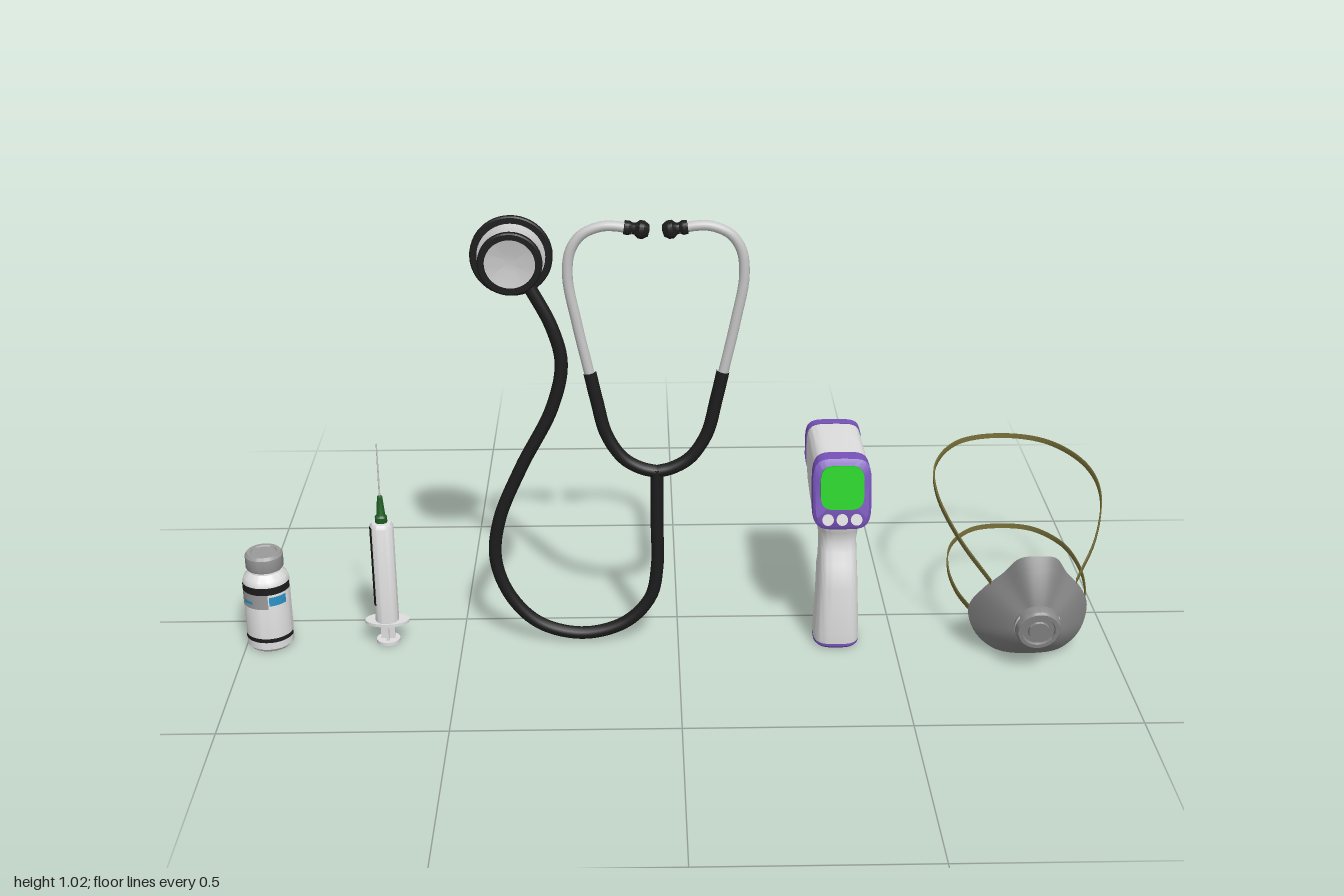
import * as THREE from 'three';
import { toCreasedNormals } from 'three/addons/utils/BufferGeometryUtils.js';

const mat = (name, color, side = THREE.FrontSide) => {
  const m = new THREE.MeshStandardMaterial({ color, side });
  m.name = name;
  return m;
};
const V = (x, y, z) => new THREE.Vector3(x, y, z);

export function createModel() {
  const white = mat('white', 0xdedede), black = mat('black', 0x1c1c1c), silver = mat('silver', 0xc6c6c6);
  const capGrey = mat('cap grey', 0x9a9a9a), maskGrey = mat('mask grey', 0x868686, THREE.DoubleSide);
  const purple = mat('purple', 0x7652b8), green = mat('screen green', 0x08cc08);
  const darkGreen = mat('hub green', 0x1f5c22), olive = mat('olive', 0x77703a, THREE.DoubleSide);
  const blue = mat('blue', 0x2a94c8);

  const root = new THREE.Group();
  const group = (name, x = 0, y = 0, z = 0) => {
    const g = new THREE.Group();
    g.name = name;
    g.position.set(x, y, z);
    root.add(g);
    return g;
  };
  const add = (parent, name, geo, material, x = 0, y = 0, z = 0) => {
    const m = new THREE.Mesh(geo, material);
    m.name = name;
    m.position.set(x, y, z);
    parent.add(m);
    return m;
  };
  const lathe = (pts, seg = 40) => toCreasedNormals(
    new THREE.LatheGeometry(pts.map(p => new THREE.Vector2(...p)), seg), 0.6);
  const tube = (pts, r, seg = 40) =>
    new THREE.TubeGeometry(new THREE.CatmullRomCurve3(pts), seg, r, 12);
  const cyl = (r1, r2, h) => new THREE.CylinderGeometry(r1, r2, h, 28);
  // curved plate on a cylinder, between two angles and two heights
  const wrap = (r, y0, y1, a0, a1) =>
    new THREE.CylinderGeometry(r, r, y1 - y0, 20, 1, true, a0, a1 - a0).translate(0, (y0 + y1) / 2, 0);

  // closed solid through rounded sections [half width, lowZ, lowY, highZ, highY]
  const loft = (sections, power = 0.45, n = 40) => {
    const pos = [], idx = [], last = sections.length - 1;
    const se = v => Math.sign(v) * Math.abs(v) ** power;
    for (const [hw, zl, yl, zh, yh] of sections)
      for (let i = 0; i < n; i++) {
        const a = i / n * Math.PI * 2, t = (se(Math.sin(a)) + 1) / 2;
        pos.push(hw * se(Math.cos(a)), yl + (yh - yl) * t, zl + (zh - zl) * t);
      }
    for (const [, zl, yl, zh, yh] of [sections[0], sections[last]]) pos.push(0, (yl + yh) / 2, (zl + zh) / 2);
    const c0 = (last + 1) * n;
    for (let i = 0; i < n; i++) {
      const j = (i + 1) % n;
      for (let k = 0; k < last; k++) {
        const a = k * n + i, b = k * n + j;
        idx.push(a, b, b + n, a, b + n, a + n);
      }
      idx.push(c0, j, i, c0 + 1, last * n + i, last * n + j);
    }
    // turn the faces outward if the volume comes out negative
    const p = k => V(...pos.slice(k * 3, k * 3 + 3));
    let vol = 0;
    for (let i = 0; i < idx.length; i += 3) vol += p(idx[i]).dot(p(idx[i + 1]).cross(p(idx[i + 2])));
    if (vol < 0) idx.reverse();
    const g = new THREE.BufferGeometry();
    g.setAttribute('position', new THREE.Float32BufferAttribute(pos, 3));
    g.setIndex(idx);
    return toCreasedNormals(g, 0.7);
  };

  // Vial
  const vial = group('vial', -0.946, 0, 0.1);
  add(vial, 'vialBottle', lathe([[0, 0], [0.046, 0], [0.053, 0.008], [0.053, 0.165], [0.049, 0.178],
    [0.036, 0.19], [0.034, 0.202], [0, 0.202]]), white);
  add(vial, 'vialCap', lathe([[0, 0.197], [0.041, 0.197], [0.043, 0.201], [0.043, 0.229], [0.038, 0.236],
    [0.03, 0.236], [0.028, 0.233], [0, 0.233]]), capGrey);
  add(vial, 'labelTopBand', wrap(0.054, 0.148, 0.166, -1.45, 1.45), black);
  add(vial, 'labelBottomBand', wrap(0.054, 0.026, 0.036, -1.45, 1.45), black);
  add(vial, 'labelPanel', wrap(0.0538, 0.112, 0.148, -1.45, 0.2), capGrey);
  add(vial, 'labelBlueMark', wrap(0.0542, 0.12, 0.142, 0.25, 1.05), blue);
  add(vial, 'labelBlueStripe', wrap(0.0542, 0.122, 0.13, -1.0, -0.5), blue);

  // Syringe
  const syringe = group('syringe', -0.674, 0, 0.1);
  add(syringe, 'plungerThumbRest', cyl(0.027, 0.027, 0.008), white, 0, 0.004);
  for (const a of [0, Math.PI / 2])
    add(syringe, 'plungerRod', new THREE.BoxGeometry(0.032, 0.05, 0.006), white, 0, 0.032).rotation.y = a;
  add(syringe, 'fingerFlange', cyl(0.03, 0.03, 0.007), white, 0, 0.054).scale.x = 1.7;
  add(syringe, 'barrel', lathe([[0, 0.055], [0.027, 0.055], [0.027, 0.298], [0.022, 0.306], [0.009, 0.308], [0, 0.308]]), white);
  add(syringe, 'scaleMarks', wrap(0.0278, 0.1, 0.3, -1.5, -0.85), black);
  add(syringe, 'scaleMarksRear', wrap(0.0278, 0.1, 0.3, 1.7, 2.15), black);
  add(syringe, 'needleHub', lathe([[0, 0.305], [0.014, 0.305], [0.014, 0.32], [0.01, 0.325], [0.006, 0.37], [0, 0.375]], 20), darkGreen);
  add(syringe, 'needle', cyl(0.0015, 0.002, 0.13), silver, 0, 0.435);

  // Stethoscope
  const steth = group('stethoscope', -0.048, 0, 0.105);
  const hose = [[-0.28, 0.88], [-0.228, 0.775], [-0.209, 0.69], [-0.232, 0.585], [-0.305, 0.44], [-0.358, 0.31],
    [-0.369, 0.21], [-0.337, 0.115], [-0.272, 0.045], [-0.172, 0.018], [-0.075, 0.045], [-0.016, 0.11], [0, 0.19], [0, 0.3], [0, 0.435]];
  add(steth, 'hose', tube(hose.map(p => V(...p, 0)), 0.0145, 120), black);
  for (const s of [-1, 1]) {
    const path = pts => pts.map(([x, y]) => V(s * x, y, 0));
    add(steth, 'yokeTube', tube(path([[0, 0.428], [0.035, 0.437], [0.075, 0.462], [0.112, 0.52], [0.132, 0.6], [0.147, 0.67]]), 0.0145), black);
    add(steth, 'earTube', tube(path([[0.145, 0.655], [0.174, 0.79], [0.191, 0.89], [0.184, 0.95], [0.16, 0.985],
      [0.12, 1.003], [0.085, 1.004], [0.05, 0.997]]), 0.0115, 60), silver);
    const tip = add(steth, 'earTip', lathe([[0, 0], [0.015, 0.002], [0.016, 0.012], [0.012, 0.02], [0.013, 0.026],
      [0.02, 0.034], [0.02, 0.044], [0.013, 0.055], [0, 0.057]], 24), black, s * 0.07, 1.002);
    tip.rotation.z = s * 1.72;
  }
  // two-sided chest piece, turned about z
  const chest = group('chestPiece', -0.361, 0.93, 0);
  chest.rotation.x = Math.PI / 2;
  add(chest, 'chestBody', lathe([[0, 0.075], [0.03, 0.074], [0.076, 0.07], [0.08, 0.081], [0.066, 0.086], [0.062, 0.1],
    [0.05, 0.106], [0.062, 0.115], [0.063, 0.128], [0.055, 0.134], [0.02, 0.127], [0, 0.126]]), silver);
  const rim = (ri, ro, z0, z1) => lathe([[ri, z0], [ro - 0.003, z0], [ro, z0 + 0.003], [ro, z1 - 0.003],
    [ro - 0.003, z1], [ri, z1], [ri, z0]], 48);
  add(chest, 'diaphragmRim', rim(0.073, 0.09, 0.068, 0.083), black);
  add(chest, 'bellRim', rim(0.055, 0.07, 0.123, 0.14), black);
  const stem = add(chest, 'chestStem', cyl(0.011, 0.011, 0.06), silver, 0.027, 0.105, 0.045);
  stem.rotation.set(Math.PI / 2, 0, -0.5);

  // Infrared thermometer
  const gun = group('thermometer', 0.366);
  add(gun, 'head', loft([[0.064, 0.15, 0.305, 0.105, 0.47], [0.064, 0.06, 0.308, 0.04, 0.47],
    [0.063, -0.02, 0.318, -0.02, 0.47], [0.062, -0.07, 0.345, -0.068, 0.469]]), white);
  add(gun, 'frontBezel', loft([[0.066, 0.148, 0.303, 0.104, 0.472], [0.066, 0.173, 0.312, 0.14, 0.471],
    [0.06, 0.178, 0.322, 0.146, 0.463]]), purple);
  add(gun, 'rearCap', loft([[0.064, -0.065, 0.343, -0.064, 0.471], [0.064, -0.09, 0.346, -0.09, 0.47],
    [0.057, -0.096, 0.353, -0.096, 0.463]]), purple);
  add(gun, 'sensorRing', cyl(0.03, 0.03, 0.006).rotateX(Math.PI / 2), purple, 0, 0.408, -0.097);
  const faceZ = (y, d = 0) => 0.1465 + (0.463 - y) * 0.227 + d;
  add(gun, 'screen', loft([-0.002, 0.004].map(d => [0.049, faceZ(0.36, d), 0.36, faceZ(0.457, d), 0.457]), 0.5), green);
  for (const x of [-0.032, 0, 0.032])
    add(gun, 'button', cyl(0.013, 0.013, 0.009), white, x, 0.337, faceZ(0.337)).rotation.x = Math.PI / 2 - 0.22;
  // grip sections: half width, back z, front z, height
  const grip = [[0.052, 0.05, 0.162, 0.012], [0.052, 0.048, 0.164, 0.035], [0.049, 0.055, 0.163, 0.1], [0.047, 0.04, 0.161, 0.15],
    [0.046, 0.032, 0.158, 0.178], [0.044, 0.046, 0.148, 0.208], [0.043, 0.04, 0.138, 0.235], [0.043, 0.026, 0.132, 0.258],
    [0.047, 0.005, 0.138, 0.285], [0.055, -0.025, 0.149, 0.306], [0.06, -0.06, 0.148, 0.34]];
  add(gun, 'grip', loft(grip.map(([w, b, f, y]) => [w, b, y, f, y]), 0.65), white);
  add(gun, 'gripBase', loft([[0.047, 0.056, 0, 0.156, 0], [0.052, 0.05, 0.006, 0.162, 0.006], [0.052, 0.05, 0.014, 0.162, 0.014]], 0.65), purple);
  add(gun, 'trigger', loft([[0.018, -0.028, 0.244, 0.01, 0.246], [0.022, -0.034, 0.255, 0.012, 0.255],
    [0.022, -0.044, 0.3, 0.012, 0.3], [0.022, -0.045, 0.33, 0.012, 0.33]]), purple);

  // Face mask: cup between the rim curve and a front point
  const mask = group('faceMask', 0.802);
  const half = [[0.04, 0.262, 0.226], [0.072, 0.215, 0.206], [0.112, 0.165, 0.185], [0.137, 0.1, 0.157],
    [0.12, 0.045, 0.172], [0.073, 0.01, 0.189]];
  const rimCurve = new THREE.CatmullRomCurve3([V(0, 0.269, 0.232), ...half.map(p => V(...p)), V(0, 0.002, 0.195),
    ...half.slice().reverse().map(([x, y, z]) => V(-x, y, z))], true);
  const cup = (u, t, lift = 0) => {
    const p = rimCurve.getPoint(((u % 1) + 1) % 1);
    return V(p.x * t, 0.118 + (p.y - 0.118) * t, p.z + (0.284 - p.z) * (1 - t ** 1.7) + lift);
  };
  // surface through rows of points
  const sheet = rows => {
    const n = rows[0].length, idx = [], g = new THREE.BufferGeometry().setFromPoints(rows.flat());
    for (let r = 0; r < rows.length - 1; r++)
      for (let i = 0; i < n - 1; i++) {
        const a = r * n + i;
        idx.push(a, a + n, a + 1, a + 1, a + n, a + n + 1);
      }
    g.setIndex(idx);
    g.computeVertexNormals();
    return g;
  };
  const rows = (t0, t1, k, u0, u1, n, lift) => Array.from({ length: k + 1 }, (_, r) =>
    Array.from({ length: n + 1 }, (_, i) => cup(u0 + (u1 - u0) * i / n, t1 + (t0 - t1) * r / k, lift)));
  add(mask, 'maskCup', sheet(rows(0.02, 1, 14, 0, 1, 72, 0)), maskGrey);
  add(mask, 'noseClip', sheet(rows(0.79, 0.87, 2, -0.13, 0.13, 24, 0.004)), maskGrey);
  const valve = new THREE.Group();
  valve.name = 'valve';
  valve.position.set(0, 0.117, 0.268);
  valve.rotation.x = Math.PI / 2 + 0.16;
  mask.add(valve);
  add(valve, 'valveHousing', lathe([[0, 0], [0.052, 0], [0.05, 0.022], [0.046, 0.027], [0.037, 0.027], [0.035, 0.022],
    [0.024, 0.022], [0.022, 0.026], [0, 0.026]]), maskGrey);
  for (const s of [-1, 1])
    add(valve, 'valveSlot', wrap(0.0525, 0.008, 0.016, s * Math.PI / 2 - 0.6, s * Math.PI / 2 + 0.6), white);

  // elastic straps as flat bands
  const strap = (name, pts) => {
    const all = [...pts.map(p => V(...p)), ...pts.slice(0, -1).reverse().map(([x, y, z]) => V(-x, y, z))];
    const line = new THREE.CatmullRomCurve3(all).getPoints(90);
    const edge = (dy, k) => line.map(p => V(p.x * k, p.y + dy, p.z));
    add(mask, name, sheet([edge(0.0065, 1), edge(-0.0065, 1), edge(-0.0065, 0.98), edge(0.0065, 0.98), edge(0.0065, 1)]), olive);
  };
  strap('upperStrap', [[0.098, 0.19, 0.2], [0.158, 0.25, 0.105], [0.194, 0.302, -0.03], [0.178, 0.323, -0.16],
    [0.105, 0.331, -0.27], [0, 0.332, -0.303]]);
  strap('lowerStrap', [[0.128, 0.095, 0.168], [0.153, 0.1, 0.07], [0.158, 0.11, -0.03], [0.135, 0.12, -0.13],
    [0.075, 0.128, -0.195], [0, 0.13, -0.21]]);

  return root;
}
